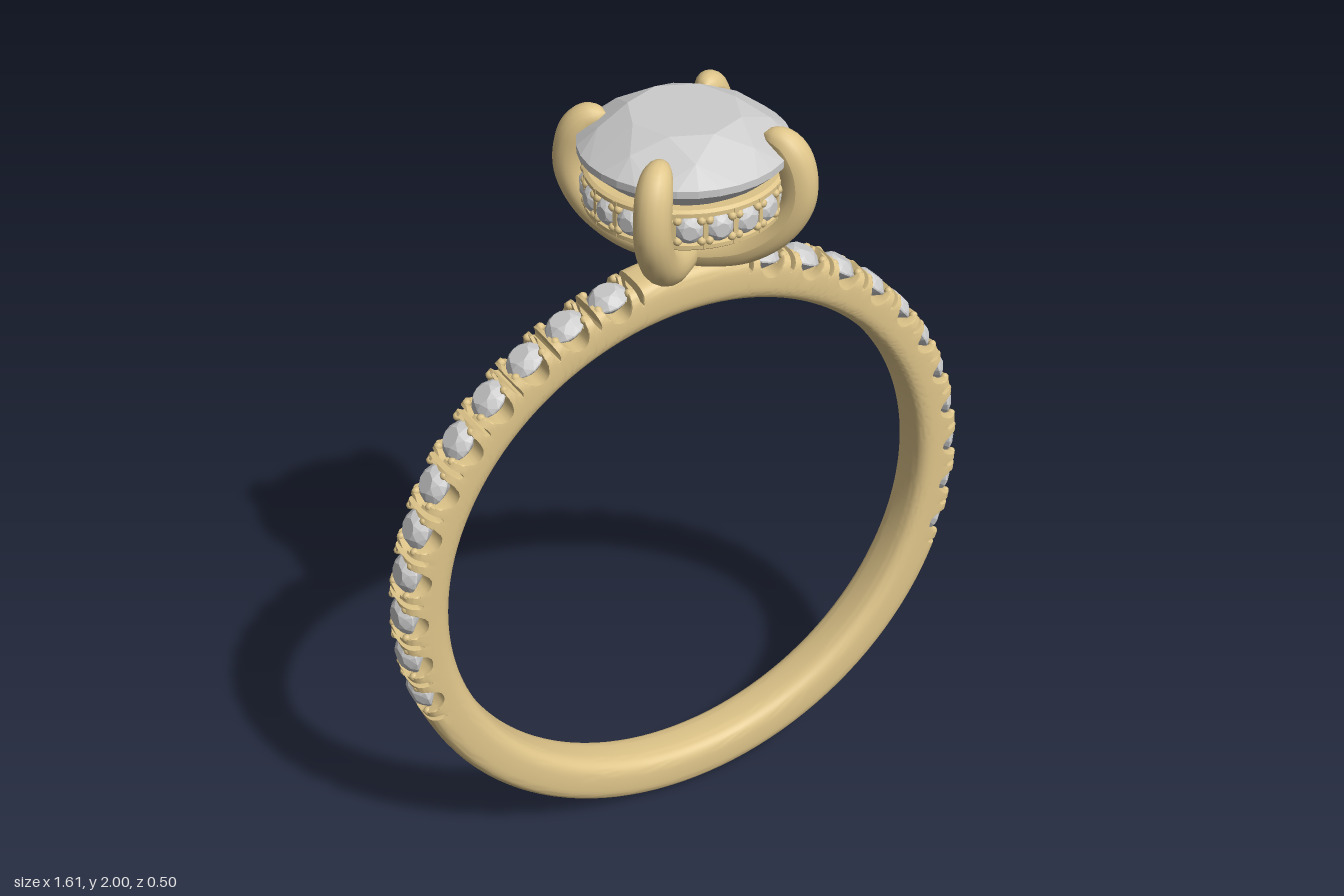
import * as THREE from 'three';
import { toCreasedNormals } from 'three/addons/utils/BufferGeometryUtils.js';
import { ConvexGeometry } from 'three/addons/geometries/ConvexGeometry.js';

const gold = new THREE.MeshStandardMaterial({ color: 0xdfc58a });
const gem = new THREE.MeshStandardMaterial({ color: 0xcccccc, flatShading: true });

const CY = 0.805;        // height of the band's centre
const OUTER = 0.805;     // outer radius of the band
const PITCH = 9;         // degrees between band stones
const COUNT = 11;        // stones on each shoulder
const FIRST = -15.5;     // angle of the lowest stone
const rad = THREE.MathUtils.degToRad;

function add(parent, name, geometry, material) {
  const mesh = new THREE.Mesh(geometry, material);
  mesh.name = name;
  parent.add(mesh);
  return mesh;
}

// Round faceted stone: girdle at y = 0, table at y = crown, culet at y = -depth
function stoneGeometry(R, crown, depth, girdle, sides) {
  const points = [];
  const ring = (n, r, y, turn) => {
    for (let i = 0; i < n; i++) {
      const a = ((i + turn) / n) * Math.PI * 2;
      points.push(new THREE.Vector3(Math.cos(a) * r, y, Math.sin(a) * r));
    }
  };
  ring(8, R * 0.54, crown, 0);
  ring(8, R * 0.8, crown * 0.56, 0.5);
  ring(sides, R, 0, 0);
  ring(sides, R, -girdle, 0);
  ring(8, R * 0.5, -girdle - (depth - girdle) * 0.53, 0.5);
  points.push(new THREE.Vector3(0, -depth, 0));
  return new ConvexGeometry(points);
}

// Band: a rounded section swept round the finger, cut down at each stone
function bandGeometry() {
  // [fraction of the pitch from the stone's centre, depth of cut]
  const half = [[0, 0.058], [0.1, 0.056], [0.18, 0.048], [0.25, 0.032], [0.29, 0.012],
    [0.31, 0], [0.37, 0], [0.44, 0], [0.455, 0.036], [0.5, 0.042]];
  const cuts = [...half.slice(1).reverse().map(([u, d]) => [-u, d]), ...half];

  const right = [];
  for (let i = 0; i < COUNT; i++) {
    cuts.forEach(([u, d], k) => {
      if (i > 0 && k === 0) return;
      right.push({ a: FIRST + (i + u) * PITCH, d, s: rad(u * PITCH) * 0.785 });
    });
  }
  const left = right.map((p) => ({ ...p, a: 180 - p.a })).reverse();
  const plain = (from, to, n) => Array.from({ length: n + 1 },
    (_, i) => ({ a: from + ((to - from) * i) / n, d: 0, s: 1 }));
  const stations = [...right, ...plain(79.5, 100.5, 8), ...left, ...plain(200.5, 339.5, 48)];

  const N = 44, pos = [], idx = [];
  const sq = (v) => Math.sign(v) * Math.abs(v) ** 0.6;
  for (const { a, d, s } of stations) {
    for (let j = 0; j < N; j++) {
      const p = (j / N) * Math.PI * 2;
      const z = 0.067 * sq(Math.sin(p));
      let r = 0.7425 + 0.0625 * sq(Math.cos(p));
      r = Math.min(r, OUTER - d);
      if (Math.hypot(s, z) < 0.05) r = Math.min(r, 0.772);
      pos.push(r * Math.cos(rad(a)), r * Math.sin(rad(a)), z);
    }
  }
  const M = stations.length;
  for (let i = 0; i < M; i++) {
    for (let j = 0; j < N; j++) {
      const i2 = (i + 1) % M, j2 = (j + 1) % N;
      const A = i * N + j, B = i2 * N + j, C = i2 * N + j2, D = i * N + j2;
      idx.push(A, B, C, A, C, D);
    }
  }
  const g = new THREE.BufferGeometry();
  g.setAttribute('position', new THREE.Float32BufferAttribute(pos, 3));
  g.setIndex(idx);
  return toCreasedNormals(g, 0.6);
}

// Claw: a tube from under the stone, round the basket, tapering over the girdle
function clawGeometry() {
  const curve = new THREE.CatmullRomCurve3([
    [0, 1.638], [0.07, 1.644], [0.15, 1.667], [0.23, 1.728], [0.272, 1.81],
    [0.268, 1.89], [0.237, 1.945], [0.187, 1.965],
  ].map(([d, y]) => new THREE.Vector3(d, y, 0)));
  const seg = 48, sides = 16;
  const g = new THREE.TubeGeometry(curve, seg, 0.044, sides, false);
  const p = g.attributes.position, v = new THREE.Vector3();
  for (let i = 0; i <= seg; i++) {
    const t = i / seg;
    const c = curve.getPointAt(t);
    const k = t < 0.8 ? 1 : Math.sqrt(Math.max(0, 1 - ((t - 0.8) / 0.2) ** 2));
    for (let j = 0; j <= sides; j++) {
      const n = i * (sides + 1) + j;
      v.fromBufferAttribute(p, n).sub(c).multiplyScalar(k).add(c);
      p.setXYZ(n, v.x, v.y, v.z);
    }
  }
  g.computeVertexNormals();
  return g;
}

export function createModel() {
  const model = new THREE.Group();
  model.name = 'ring';

  // Band with its shoulder stones and the beads that hold them
  const shank = new THREE.Group();
  shank.name = 'shank';
  shank.position.y = CY;
  model.add(shank);
  add(shank, 'band', bandGeometry(), gold);

  const smallStone = stoneGeometry(0.051, 0.024, 0.05, 0.004, 16);
  const bead = new THREE.SphereGeometry(0.011, 8, 6);
  for (const side of [1, -1]) {
    for (let i = 0; i < COUNT; i++) {
      const a = rad(FIRST + i * PITCH);
      const seat = new THREE.Group();
      seat.name = 'shoulderSetting';
      const angle = side > 0 ? a : Math.PI - a;
      seat.position.set(Math.cos(angle) * 0.783, Math.sin(angle) * 0.783, 0);
      seat.rotation.z = angle - Math.PI / 2;
      shank.add(seat);
      add(seat, 'shoulderStone', smallStone, gem);
      for (const sx of [1, -1]) for (const sz of [1, -1]) {
        add(seat, 'bead', bead, gold).position.set(sx * 0.043, 0.01, sz * 0.037);
      }
    }
  }

  // Centre stone
  const head = new THREE.Group();
  head.name = 'head';
  model.add(head);
  add(head, 'centreStone', stoneGeometry(0.25, 0.075, 0.235, 0.018, 32), gem).position.y = 1.925;

  // Four claws on the diagonals
  const claw = clawGeometry();
  for (let i = 0; i < 4; i++) {
    add(head, 'claw', claw, gold).rotation.y = Math.PI / 4 + (i * Math.PI) / 2;
  }

  // Basket ring with a rail above and below the row of stones
  const profile = [[0.19, 1.765], [0.228, 1.762], [0.236, 1.768], [0.236, 1.778], [0.215, 1.786],
    [0.215, 1.842], [0.236, 1.85], [0.236, 1.86], [0.228, 1.866], [0.2, 1.865], [0.19, 1.765]];
  const basket = new THREE.LatheGeometry(profile.map(([x, y]) => new THREE.Vector2(x, y)), 80);
  add(head, 'basketRing', toCreasedNormals(basket, 0.5), gold);

  // Stones round the basket, with a post and beads in every gap
  const haloStone = stoneGeometry(0.034, 0.015, 0.025, 0.003, 16);
  const post = new THREE.BoxGeometry(0.026, 0.09, 0.012);
  for (let i = 0; i < 20; i++) {
    const setting = new THREE.Group();
    setting.name = 'basketSetting';
    setting.rotation.y = rad(9 + i * 18);
    head.add(setting);
    const stone = add(setting, 'basketStone', haloStone, gem);
    stone.position.set(0.229, 1.814, 0);
    stone.rotation.z = -Math.PI / 2;

    const gap = new THREE.Group();
    gap.name = 'basketPost';
    gap.rotation.y = rad(9);
    setting.add(gap);
    add(gap, 'post', post, gold).position.set(0.224, 1.814, 0);
    for (const y of [-1, 1]) for (const z of [-1, 1]) {
      add(gap, 'bead', bead, gold).position.set(0.232, 1.814 + y * 0.026, z * 0.009);
    }
  }
  return model;
}
